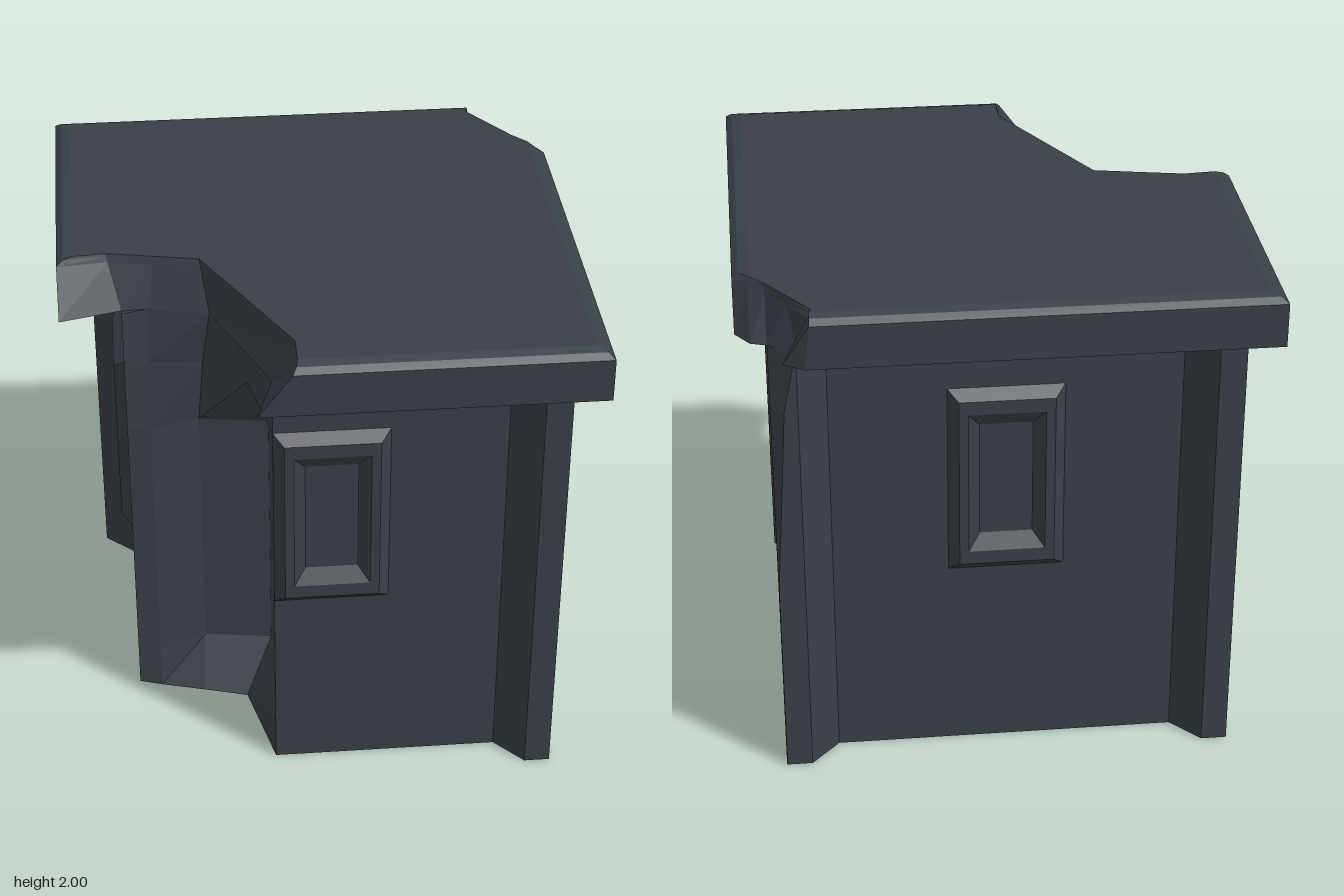
import * as THREE from 'three';

const slate = new THREE.MeshStandardMaterial({ color: 0x3a4048 });
slate.name = 'dark slate';

// Flat-sided mesh from a list of quads and triangles (corners counter-clockwise)
function meshFrom(name, faces) {
  const pos = [];
  for (const f of faces)
    for (let i = 1; i < f.length - 1; i++) pos.push(...f[0], ...f[i], ...f[i + 1]);
  const geo = new THREE.BufferGeometry();
  geo.setAttribute('position', new THREE.Float32BufferAttribute(pos, 3));
  geo.computeVertexNormals();
  const mesh = new THREE.Mesh(geo, slate);
  mesh.name = name;
  return mesh;
}

// Solid from matching plan outlines [x, z] stacked at rising heights
function stack(name, levels) {
  const rings = levels.map(({ y, plan }) => plan.map(([x, z]) => [x, y, z]));
  const n = rings[0].length, faces = [];
  for (let k = 0; k < rings.length - 1; k++)
    for (let i = 0; i < n; i++) {
      const j = (i + 1) % n, a = rings[k], b = rings[k + 1];
      faces.push([a[i], a[j], b[j]], [a[i], b[j], b[i]]);
    }
  const cap = (ring, flip) => {
    const flat = ring.map(([x, , z]) => new THREE.Vector2(x, -z));
    for (const t of THREE.ShapeUtils.triangulateShape(flat, [])) {
      const tri = t.map((i) => ring[i]);
      faces.push(flip ? tri.reverse() : tri);
    }
  };
  cap(rings[0], true);
  cap(rings[rings.length - 1], false);
  return meshFrom(name, faces);
}

// Body plan: walls, corner posts, chipped post (chip) and broken corner (cut)
function bodyPlan(chip, cut) {
  return [
    [0.66, 0.75], [0.77, 0.87], [0.87, 0.87], [0.87, 0.77], [0.75, 0.66],
    [0.75, -0.66], [0.87, -0.77], [0.87, -0.87 + chip], [0.87 - chip, -0.87], [0.77, -0.87], [0.66, -0.75],
    [-0.66, -0.75], [-0.77, -0.87], [-0.87, -0.87], [-0.87, -0.77], [-0.75, -0.66],
    [-0.75, 0.24], ...cut, [-0.22, 0.75],
  ];
}

// Roof plan: bottom and top outlines blended, then held inside half-width h
const R = 0.985;
const roofBottom = [
  [R, R], [R, -0.68], [0.93, -0.76], [0.87, -0.78], [0.76, -0.88], [0.82, -0.935], [0.74, -R],
  [-R, -R], [-R, 0.28], [-0.75, 0.22], [-0.65, 0.215], [-0.42, 0.27], [-0.22, 0.75], [-0.29, R],
];
const roofTop = [
  [R, R], [R, -0.56], [0.93, -0.62], [0.87, -0.68], [0.8, -0.78], [0.71, -0.91], [0.72, -R],
  [-R, -R], [-R, 0.14], [-0.8, 0.13], [-0.62, 0.165], [-0.45, 0.2], [-0.14, 0.8], [-0.14, R],
];
function roofLevel(y, h) {
  const t = (y - 1.8) / 0.2;
  const plan = roofBottom.map((p, i) =>
    p.map((v, k) => THREE.MathUtils.clamp(THREE.MathUtils.lerp(v, roofTop[i][k], t), -h, h)));
  return { y, plan };
}

// Window: bevelled frame sloping in to a pane; steps are [half width, half height, depth]
function makeWindow(name) {
  const steps = [[0.22, 0.39, 0], [0.18, 0.35, 0.04], [0.145, 0.295, 0.04], [0.1, 0.235, 0.002]];
  const rings = steps.map(([w, h, d]) => [[-w, -h, d], [w, -h, d], [w, h, d], [-w, h, d]]);
  const faces = [rings[3]];
  for (let k = 0; k < 3; k++)
    for (let i = 0; i < 4; i++) {
      const j = (i + 1) % 4;
      faces.push([rings[k][i], rings[k][j], rings[k + 1][j], rings[k + 1][i]]);
    }
  return meshFrom(name, faces);
}

export function createModel() {
  const model = new THREE.Group();
  model.name = 'ruinedBlockhouse';

  // Body with hollowed break in one corner
  const hollow = [[-0.66, 0.25], [-0.47, 0.2], [-0.2, 0.24]];
  model.add(stack('body', [
    { y: 0, plan: bodyPlan(0.002, [[-0.66, 0.27], [-0.48, 0.32], [-0.31, 0.37]]) },
    { y: 0.2, plan: bodyPlan(0.002, hollow) },
    { y: 0.82, plan: bodyPlan(0.002, hollow) },
    { y: 1.28, plan: bodyPlan(0.032, hollow) },
    { y: 1.57, plan: bodyPlan(0.05, [[-0.66, 0.23], [-0.45, 0.24], [-0.29, 0.4]]) },
    { y: 1.8, plan: bodyPlan(0.097, [[-0.65, 0.215], [-0.42, 0.27], [-0.3, 0.5]]) },
  ]));

  // Roof slab with softened top edge
  model.add(stack('roof', [
    roofLevel(1.8, R), roofLevel(1.97, R), roofLevel(1.99, 0.96), roofLevel(2, 0.925),
  ]));

  // One window per side
  ['frontWindow', 'leftWindow', 'backWindow', 'rightWindow'].forEach((name, i) => {
    const win = makeWindow(name);
    const a = (i * Math.PI) / 2;
    win.position.set(Math.sin(a) * 0.75, 1.18, Math.cos(a) * 0.75);
    win.rotation.y = a;
    model.add(win);
  });
  return model;
}
